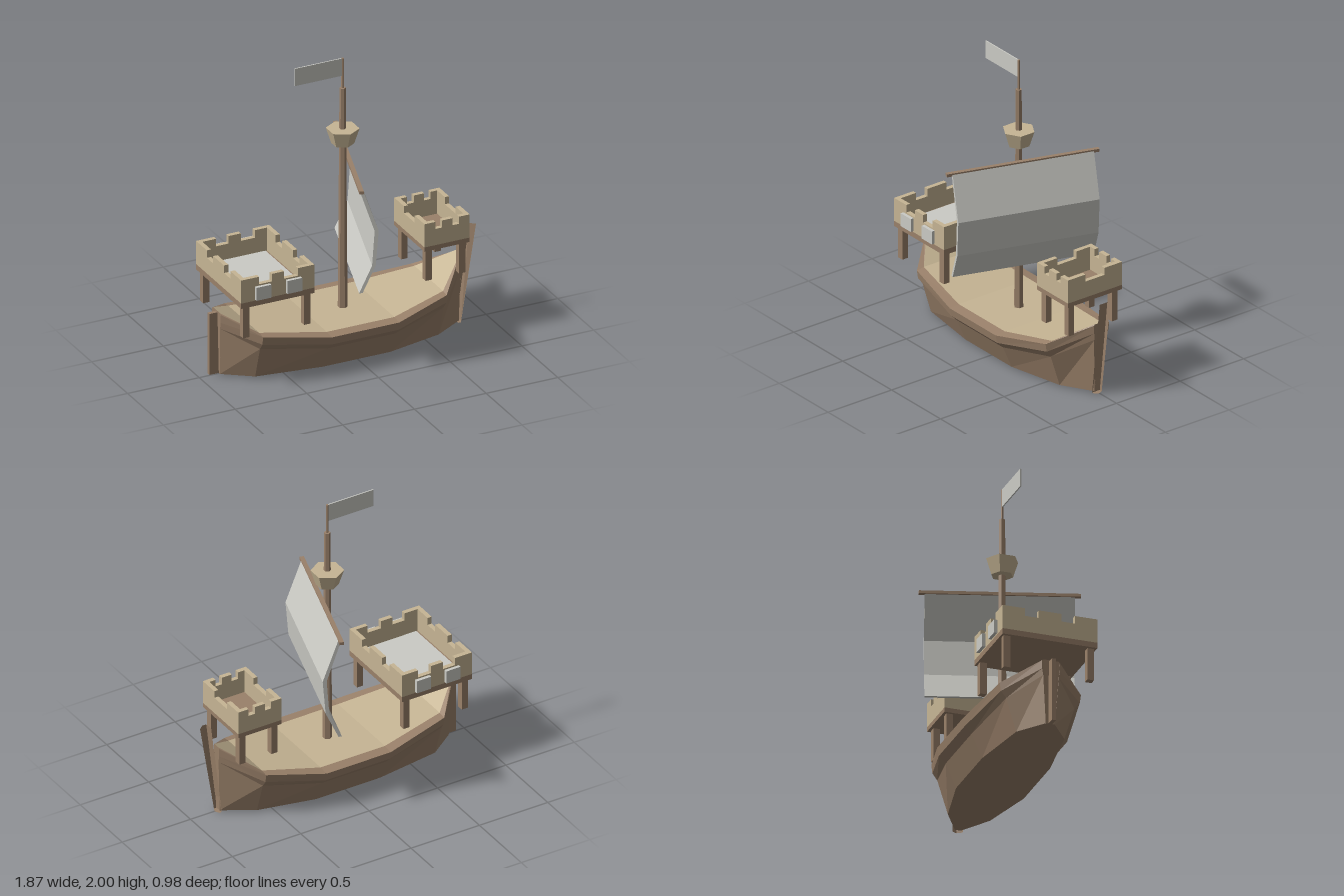
import * as THREE from 'three';

const mat = (name, color) => {
  const m = new THREE.MeshStandardMaterial({ color });
  m.name = name;
  return m;
};

// Join closed rings of points into a solid with flat faces; strip `deckStrip` gets material 1
function loft(rings, deckStrip = -1) {
  const main = [], deck = [];
  const n = rings[0].length;
  for (let s = 0; s < rings.length - 1; s++) {
    for (let i = 0; i < n; i++) {
      const j = (i + 1) % n, A = rings[s], B = rings[s + 1];
      (i === deckStrip ? deck : main).push(...A[i], ...B[i], ...B[j], ...A[i], ...B[j], ...A[j]);
    }
  }
  const first = rings[0], last = rings[rings.length - 1];
  for (let i = 1; i < n - 1; i++) {
    main.push(...first[0], ...first[i], ...first[i + 1]);
    main.push(...last[0], ...last[i + 1], ...last[i]);
  }
  const g = new THREE.BufferGeometry();
  g.setAttribute('position', new THREE.Float32BufferAttribute([...main, ...deck], 3));
  g.addGroup(0, main.length / 3, 0);
  g.addGroup(main.length / 3, deck.length / 3, 1);
  g.computeVertexNormals();
  return g;
}

export function createModel() {
  const wood = mat('brown wood', 0x9a816a);
  const tan = mat('tan wood', 0xc6b594);
  const cloth = mat('pale cloth', 0xcbcbc5);
  const ship = new THREE.Group();
  ship.name = 'sailingShip';

  const add = (parent, name, geo, material, x = 0, y = 0, z = 0) => {
    const m = new THREE.Mesh(geo, material);
    m.name = name;
    m.position.set(x, y, z);
    parent.add(m);
    return m;
  };
  // Box given by its lower and upper limits
  const box = (parent, name, material, x0, x1, y0, y1, z0, z1) =>
    add(parent, name, new THREE.BoxGeometry(x1 - x0, y1 - y0, z1 - z0), material,
      (x0 + x1) / 2, (y0 + y1) / 2, (z0 + z1) / 2);
  const hex = (rTop, rBottom, h) => new THREE.CylinderGeometry(rTop, rBottom, h, 6).toNonIndexed();
  const flatHex = (...a) => {
    const g = hex(...a);
    g.computeVertexNormals();
    return g;
  };

  // Hull stations: x at top, x at bottom, rail height, rail half width, bottom half width
  const stations = [
    [-0.88, -0.87, 0.435, 0.06, 0.03],
    [-0.69, -0.69, 0.33, 0.27, 0.16],
    [-0.25, -0.25, 0.268, 0.35, 0.225],
    [0.22, 0.22, 0.268, 0.35, 0.225],
    [0.6, 0.6, 0.33, 0.25, 0.14],
    [0.81, 0.8, 0.475, 0.03, 0.02],
  ];
  const hullRings = stations.map(([x, xb, y, w, b]) => {
    const side = [
      [xb, 0.01, b], [x, y - 0.1, w * 0.84], [x, y - 0.055, w * 0.97], [x, y, w], [x, y + 0.008, w * 0.8],
    ];
    return [...side, ...side.slice().reverse().map(([px, py, pz]) => [px, py, -pz])];
  });
  add(ship, 'hullAndDeck', loft(hullRings, 4), [wood, tan]);

  // Raked stem post with a pointed leading edge, and the rudder
  const stemRing = (y, back, shoulder, tip) => [
    [back, y, 0.03], [shoulder, y, 0.03], [tip, y, 0], [shoulder, y, -0.03], [back, y, -0.03],
  ];
  add(ship, 'stemPost', loft([stemRing(0, 0.79, 0.81, 0.825), stemRing(0.645, 0.867, 0.897, 0.93)]), wood);
  box(ship, 'rudder', wood, -0.935, -0.87, 0.01, 0.433, -0.013, 0.013);

  // Mast, crow's nest, flag
  add(ship, 'mast', flatHex(0.02, 0.031, 1.54), wood, 0, 1.025, 0);
  add(ship, 'flagPole', flatHex(0.009, 0.009, 0.21), wood, 0, 1.895, 0);
  add(ship, 'crowsNest', flatHex(0.106, 0.072, 0.105), tan, 0, 1.462, 0);
  box(ship, 'flag', cloth, -0.335, -0.005, 1.88, 2.0, -0.004, 0.004);

  // Yard and billowed sail, swung about the mast
  const rig = new THREE.Group();
  rig.name = 'sailRig';
  rig.position.x = 0.04;
  rig.rotation.y = -0.3;
  ship.add(rig);
  box(rig, 'yard', wood, -0.014, 0.014, 1.29, 1.31, -0.507, 0.507);
  const profile = [
    [0.014, 1.3], [-0.006, 1.3], [0.088, 1.01], [0.072, 0.77], [-0.01, 0.585],
    [0.012, 0.585], [0.095, 0.77], [0.114, 1.01],
  ].map(p => new THREE.Vector2(...p));
  const sail = new THREE.ExtrudeGeometry(new THREE.Shape(profile), { depth: 0.94, bevelEnabled: false });
  add(rig, 'sail', sail, cloth, 0, 0, -0.47);

  // Fighting platform: slab, legs and four crenellated walls
  function castle(name, { x0, x1, w, base, slab, notch, top, legBottom, legsX, legZ, xTeeth, zTeeth }) {
    const c = new THREE.Group();
    c.name = name;
    ship.add(c);
    const t = 0.03;
    box(c, 'platform', wood, x0, x1, base, slab, -w, w);
    for (const s of [-1, 1]) {
      const zIn = s * (w - t), zOut = s * w;
      const za = Math.min(zIn, zOut), zb = Math.max(zIn, zOut);
      box(c, 'sideWall', tan, x0, x1, slab, notch, za, zb);
      for (const [a, b] of xTeeth) box(c, 'sideMerlon', tan, a, b, notch, top, za, zb);
      for (const lx of legsX) box(c, 'leg', wood, lx - 0.022, lx + 0.022, legBottom, base, s * legZ - 0.022, s * legZ + 0.022);
    }
    for (const xa of [x0, x1 - t]) {
      box(c, 'endWall', tan, xa, xa + t, slab, notch, -w + t, w - t);
      for (const [a, b] of zTeeth) {
        const lo = Math.max(a, -w + t), hi = Math.min(b, w - t);
        box(c, 'endMerlon', tan, xa, xa + t, notch, top, lo, hi);
      }
    }
    return c;
  }

  const stern = castle('sternCastle', {
    x0: -0.865, x1: -0.355, w: 0.315, base: 0.585, slab: 0.622, notch: 0.73, top: 0.782,
    legBottom: 0.37, legsX: [-0.822, -0.397], legZ: 0.278,
    xTeeth: [[-0.865, -0.74], [-0.652, -0.567], [-0.47, -0.355]],
    zTeeth: [[-0.315, -0.165], [-0.075, 0.075], [0.165, 0.315]],
  });
  box(stern, 'floorCloth', cloth, -0.82, -0.4, 0.622, 0.63, -0.275, 0.275);
  // Shields hung on both sides
  for (const s of [-1, 1]) {
    for (const x of [-0.717, -0.502]) {
      box(stern, 'shield', cloth, x - 0.052, x + 0.052, 0.63, 0.72, s * 0.325 - 0.012, s * 0.325 + 0.012);
    }
  }

  castle('bowCastle', {
    x0: 0.465, x1: 0.78, w: 0.212, base: 0.645, slab: 0.675, notch: 0.787, top: 0.836,
    legBottom: 0.43, legsX: [0.505, 0.738], legZ: 0.17,
    xTeeth: [[0.465, 0.54], [0.587, 0.66], [0.705, 0.78]],
    zTeeth: [[-0.212, -0.075], [0.075, 0.212]],
  });

  return ship;
}
